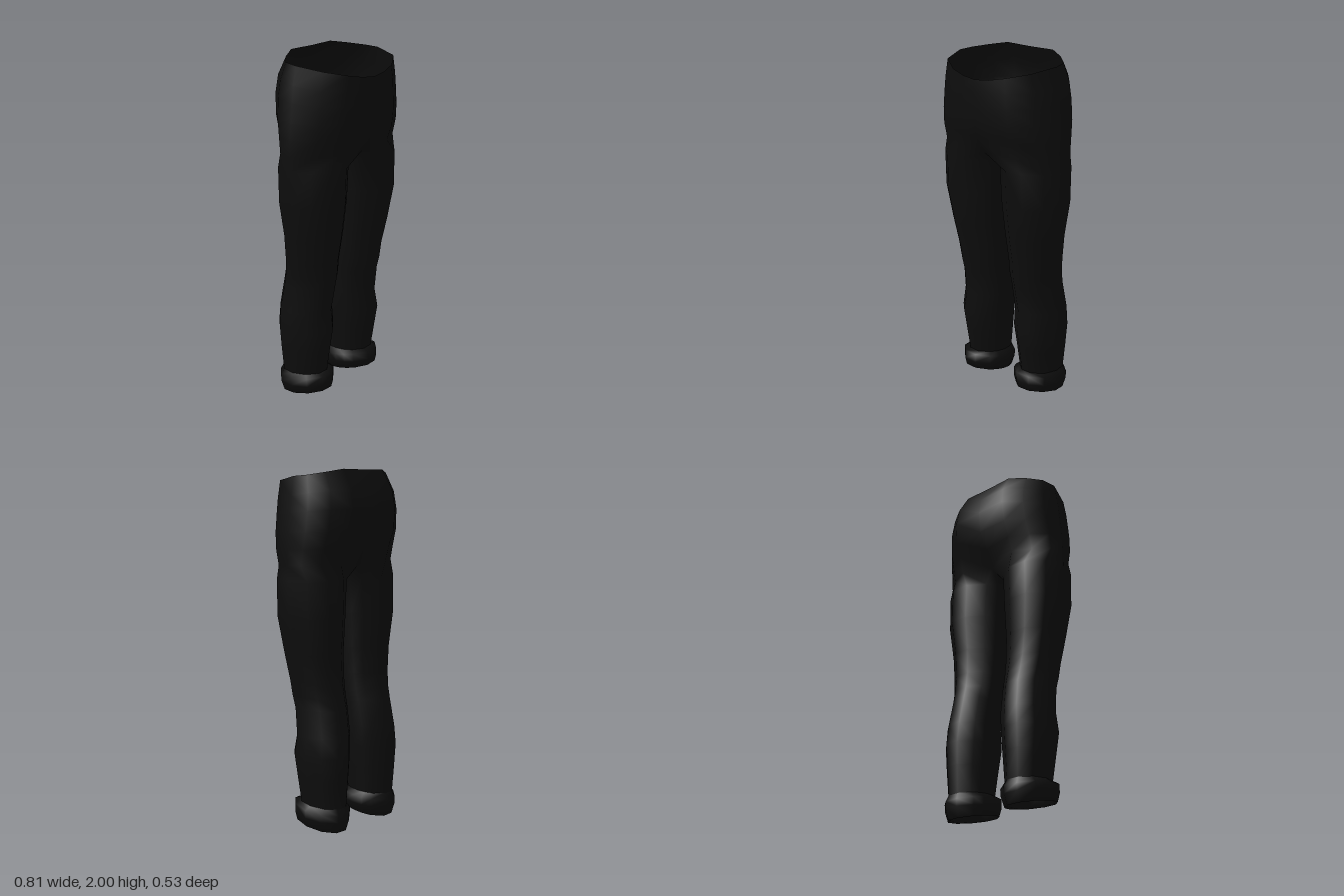
import * as THREE from 'three';
import { mergeGeometries, mergeVertices } from 'three/addons/utils/BufferGeometryUtils.js';

const black = new THREE.MeshStandardMaterial({ color: 0x0d0d0d, side: THREE.DoubleSide });
black.name = 'black cloth';

// Skin a list of rings (top to bottom) of [x, y, z] points.
function loft(rings, closed) {
  const n = rings[0].length;
  const index = [];
  for (let i = 0; i < rings.length - 1; i++) {
    for (let j = 0; j < (closed ? n : n - 1); j++) {
      const a = i * n + j, b = i * n + (j + 1) % n;
      index.push(a, a + n, b + n, a, b + n, b);
    }
  }
  const geo = new THREE.BufferGeometry();
  geo.setAttribute('position', new THREE.Float32BufferAttribute(rings.flat(2), 3));
  geo.setIndex(index);
  return geo;
}

// Mirror across x = 0, keeping the faces outward.
function mirrored(geo) {
  const g = geo.clone().scale(-1, 1, 1);
  g.setIndex([...g.index.array].reverse());
  return g;
}

// Half outline of the hips, front centre to back centre, as unit x and z.
const hipShape = [[0, 1], [0.26, 0.96], [0.53, 0.88], [0.86, 0.6], [1, 0.04],
  [0.95, -0.38], [0.74, -0.72], [0.47, -0.98], [0, -0.97]];

// One half ring of the hips; the height runs from yFront to yBack.
function hipRing([yFront, yBack, w, zFront, zBack]) {
  return hipShape.map(([x, z]) => [
    x * w,
    yFront + (yBack - yFront) * (1 - z) / 2,
    z > 0 ? z * zFront : -z * zBack,
  ]);
}

// Angles round a leg: eight wide steps outside, four narrow steps inside.
const legAngles = [];
for (let i = 0; i < 12; i++) legAngles.push(i < 8 ? 140 - 35 * i : -140 - 20 * (i - 8));

// One leg ring from its extents; tilt lifts the front and lowers the back.
function legRing([y, xIn, xOut, zFront, zBack, tilt = 0]) {
  return legAngles.map((deg) => {
    const a = THREE.MathUtils.degToRad(deg);
    const s = THREE.MathUtils.clamp(Math.sin(a) * 1.04, -1, 1);
    return [
      (xIn + xOut) / 2 + Math.cos(a) * (xOut - xIn) / 2,
      y + s * tilt,
      (zFront + zBack) / 2 + s * (zFront - zBack) / 2,
    ];
  });
}

export function createModel() {
  const group = new THREE.Group();
  group.name = 'trousers';
  const add = (geo, name) => {
    geo.computeVertexNormals();
    const mesh = new THREE.Mesh(geo, black);
    mesh.name = name;
    group.add(mesh);
  };

  // Hips: waist rim, seat and belly
  const hips = [
    [1.885, 2.0, 0.35, 0.262, -0.185],
    [1.83, 1.89, 0.37, 0.266, -0.25],
    [1.75, 1.79, 0.382, 0.266, -0.268],
    [1.66, 1.67, 0.395, 0.263, -0.255],
    [1.57, 1.58, 0.402, 0.25, -0.22],
    [1.48, 1.49, 0.406, 0.212, -0.192],
  ].map(hipRing);
  // Rim rises quickly at the sides
  [1.885, 1.893, 1.912, 1.94, 1.962, 1.968, 1.983, 2, 1.998].forEach((y, j) => { hips[0][j][1] = y; });
  // Cleft at the bottom centre, front and back
  const join = hips[hips.length - 1];
  hips[hips.length - 2][8][2] = -0.19;
  join[0] = [0, 1.465, 0.18];
  join[8] = [0, 1.47, -0.14];

  // Leg: crotch seam first, then rings down to the ankle
  const seam = [[0, 1.445, -0.08], [0, 1.44, 0.01], [0, 1.445, 0.1]];
  // The last hip ring runs from point 0 to 8; three seam points close it
  const legs = [
    [1.4, 0.02, 0.405, 0.2, -0.182],
    [1.2, 0.033, 0.4, 0.198, -0.182],
    [1.0, 0.045, 0.366, 0.168, -0.166],
    [0.85, 0.05, 0.345, 0.138, -0.168],
    [0.76, 0.053, 0.333, 0.13, -0.18],
    [0.69, 0.056, 0.326, 0.115, -0.196],
    [0.54, 0.06, 0.34, 0.092, -0.22],
    [0.43, 0.065, 0.348, 0.11, -0.227],
    [0.3, 0.078, 0.335, 0.09, -0.22],
    [0.15, 0.092, 0.318, 0.07, -0.21, 0.01],
  ].map(legRing);
  const half = mergeGeometries([loft(hips, false), loft([[...join, ...seam].slice(0, 12), ...legs.map(alignToSeam)], true)]);
  add(mergeVertices(mergeGeometries([half, mirrored(half)]), 1e-4), 'hipsAndLegs');

  // Turned-up cuff with a slanted open hem
  const cuff = loft([
    [0.155, 0.094, 0.316, 0.068, -0.208, 0.01],
    [0.13, 0.06, 0.347, 0.105, -0.225, 0.025],
    [0.085, 0.063, 0.345, 0.108, -0.223, 0.02],
    [0.034, 0.08, 0.33, 0.1, -0.205, 0.029],
    [0.044, 0.1, 0.312, 0.08, -0.19, 0.027],
    [0.12, 0.1, 0.312, 0.065, -0.2, 0.01],
  ].map(legRing), true);
  add(cuff, 'leftCuff');
  add(mirrored(cuff), 'rightCuff');

  // Lining that closes each leg inside the cuff
  const rim = legRing([0.12, 0.1, 0.312, 0.065, -0.2, 0.01]);
  const lining = loft([rim.map(() => [0.206, 0.12, -0.068]), rim], true);
  add(lining, 'leftAnkleLining');
  add(mirrored(lining), 'rightAnkleLining');
  return group;
}

// Leg rings already run front, outside, back, inside like the hip outline,
// so only the four inside points need to stay clear of the centre line.
function alignToSeam(ring) {
  return ring.map(([x, y, z]) => [Math.max(x, 0.015), y, z]);
}
